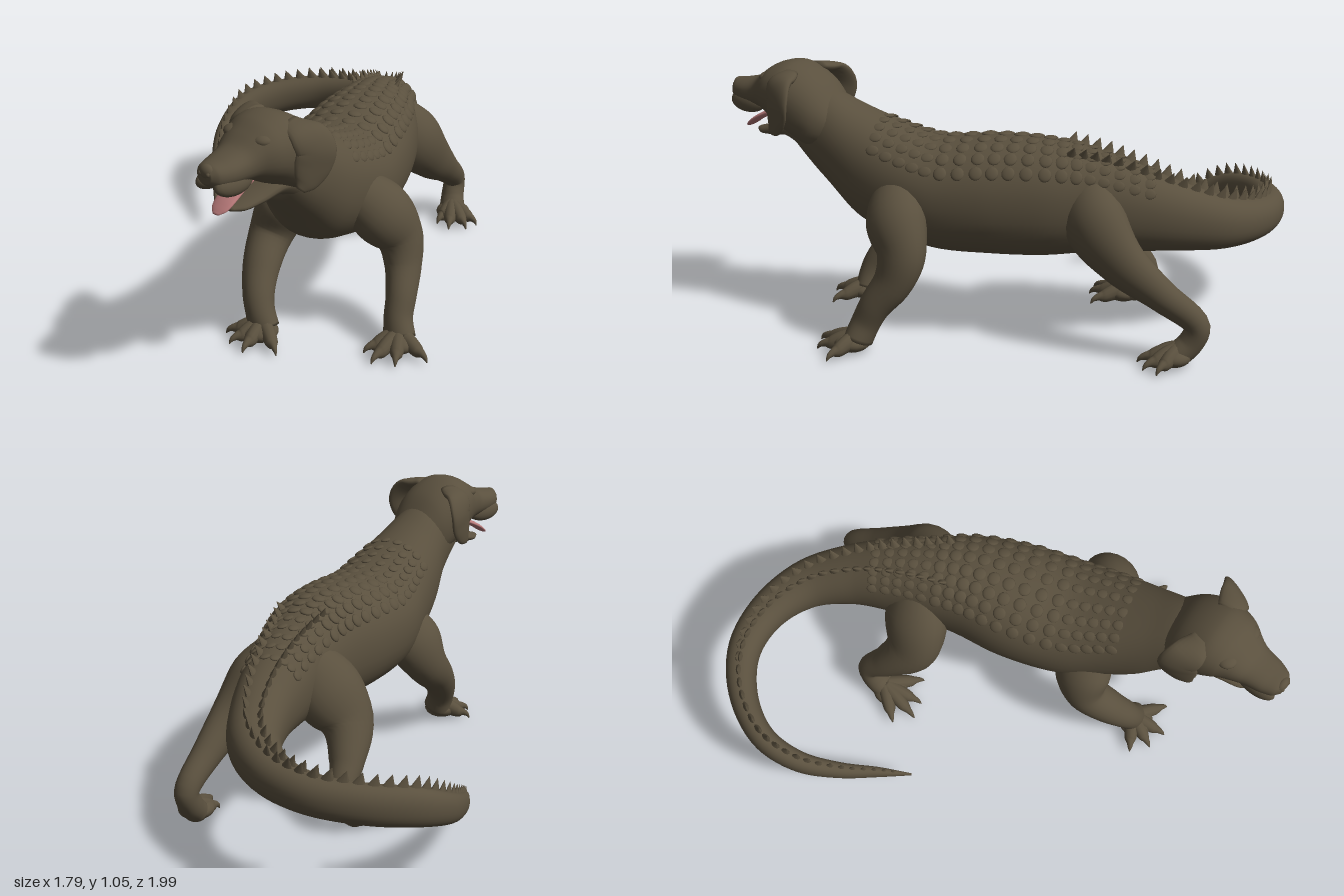
import * as THREE from 'three';
import { mergeGeometries } from 'three/addons/utils/BufferGeometryUtils.js';

const V = (x, y, z) => new THREE.Vector3(x, y, z);
const UP = V(0, 1, 0);

// Smooth sampler along stations [x, y, z, a, b]; a is the half size along ref, b across it
function sampler(stations, ref, flat) {
  const path = new THREE.CatmullRomCurve3(stations.map(s => V(s[0], s[1], s[2])));
  const size = new THREE.CatmullRomCurve3(stations.map(s => V(s[3], s[4], 0)), false, 'catmullrom', 0.5);
  return u => {
    const p = path.getPoint(u), T = path.getTangent(u), r = size.getPoint(u);
    if (flat) T.setY(0).normalize();
    const A = ref.clone().addScaledVector(T, -T.dot(ref)).normalize();
    return { p, T, A, B: T.clone().cross(A), a: Math.max(r.x, 0.001), b: Math.max(r.y, 0.001) };
  };
}

// Closed skin of elliptical rings around a sampled path
function loft(stations, ref, { flat = false, rings = stations.length * 4, sides = 20, power = 1 } = {}) {
  const at = sampler(stations, ref, flat), pos = [], index = [];
  const bend = v => Math.sign(v) * Math.abs(v) ** power;
  for (let i = 0; i <= rings; i++) {
    const f = at(i / rings);
    for (let j = 0; j < sides; j++) {
      const t = j / sides * Math.PI * 2;
      pos.push(...f.p.clone().addScaledVector(f.A, f.a * bend(Math.cos(t)))
        .addScaledVector(f.B, f.b * bend(Math.sin(t))).toArray());
    }
  }
  const first = pos.length / 3, last = first + 1;
  pos.push(...at(0).p.toArray(), ...at(1).p.toArray());
  for (let j = 0; j < sides; j++) {
    const k = (j + 1) % sides, end = rings * sides;
    for (let i = 0; i < rings; i++) {
      const o = i * sides, n = o + sides;
      index.push(o + j, o + k, n + j, o + k, n + k, n + j);
    }
    index.push(first, k, j, last, end + j, end + k);
  }
  const g = new THREE.BufferGeometry();
  g.setAttribute('position', new THREE.Float32BufferAttribute(pos, 3));
  g.setIndex(index);
  g.computeVertexNormals();
  return g;
}

// Stations given by top and bottom height: [x, z, top, bottom, halfWidth]
const spans = list => list.map(([x, z, t, b, w]) => [x, (t + b) / 2, z, (t - b) / 2, w]);

export function createModel() {
  const model = new THREE.Group();
  const skin = new THREE.MeshStandardMaterial({ color: 0x5a503e });
  skin.name = 'olive brown skin';
  const pink = new THREE.MeshStandardMaterial({ color: 0xb97a7a });
  pink.name = 'pink tongue';

  const add = (name, geometry, material = skin, parent = model) => {
    const m = new THREE.Mesh(geometry, material);
    m.name = name;
    parent.add(m);
    return m;
  };
  const blob = (name, x, y, z, sx, sy, sz, parent) => {
    const m = add(name, new THREE.SphereGeometry(1, 20, 14), skin, parent);
    m.position.set(x, y, z);
    m.scale.set(sx, sy, sz);
    return m;
  };

  // Neck, trunk and curled tail in one skin
  const spine = spans([
    [0.48, 0.66, 0.97, 0.71, 0.11], [0.455, 0.52, 0.94, 0.565, 0.14], [0.42, 0.40, 0.885, 0.44, 0.175],
    [0.37, 0.25, 0.825, 0.375, 0.21], [0.31, 0.10, 0.785, 0.335, 0.235], [0.23, -0.10, 0.80, 0.33, 0.235],
    [0.16, -0.28, 0.80, 0.335, 0.205], [0.08, -0.43, 0.77, 0.35, 0.17], [0, -0.58, 0.715, 0.36, 0.145],
    [-0.10, -0.73, 0.64, 0.36, 0.12], [-0.24, -0.86, 0.565, 0.35, 0.1], [-0.43, -0.915, 0.515, 0.345, 0.08],
    [-0.62, -0.88, 0.492, 0.338, 0.068], [-0.77, -0.75, 0.472, 0.315, 0.058], [-0.845, -0.58, 0.435, 0.28, 0.05],
    [-0.82, -0.42, 0.355, 0.225, 0.042], [-0.73, -0.28, 0.27, 0.175, 0.032], [-0.62, -0.16, 0.195, 0.13, 0.02],
    [-0.53, -0.06, 0.115, 0.1, 0.004],
  ]);
  add('body', loft(spine, UP, { flat: true, rings: 110, sides: 36, power: 0.92 }));

  // Armour placed on the back: station number, angle from the top, size across, up and along
  const at = sampler(spine, UP, true);
  const place = (geometry, station, angle, sx, sy, sz, lift) => {
    const f = at(station / (spine.length - 1)), c = Math.cos(angle), s = Math.sin(angle);
    const bend = v => Math.sign(v) * Math.abs(v) ** 0.92;
    const n = f.A.clone().multiplyScalar(c / f.a).addScaledVector(f.B, s / f.b).normalize();
    const p = f.p.addScaledVector(f.A, bend(c) * f.a).addScaledVector(f.B, bend(s) * f.b).addScaledVector(n, lift);
    const m = new THREE.Matrix4().makeBasis(n.clone().cross(f.T), n, f.T).setPosition(p);
    return geometry.clone().applyMatrix4(m.scale(V(sx, sy, sz)));
  };
  const bump = new THREE.SphereGeometry(1, 12, 8);
  const scutes = [];
  for (let s = 2.6; s < 8.4; s += 0.32) {
    const size = s < 4 || s > 7 ? 0.75 : 1;
    for (const angle of [0.13, 0.4, 0.67, 0.95])
      for (const side of [-1, 1])
        scutes.push(place(bump, s, side * angle, 0.028 * size, 0.01 * size, 0.027, -0.002));
  }
  add('backScutes', mergeGeometries(scutes));

  // Tail crest: two rows of blades that draw together towards the tip
  const blade = new THREE.ConeGeometry(1, 1, 8);
  blade.translate(0, 0.4, 0);
  const y = blade.attributes.position;
  for (let i = 0; i < y.count; i++) y.setZ(i, y.getZ(i) + Math.max(0, y.getY(i)) * 0.8);
  blade.computeVertexNormals();
  const crest = [];
  for (let s = 6.6; s < 17.6; s += 0.27) {
    const k = s < 14 ? 1 : 1 - (s - 14) * 0.17;
    const angle = 0.45 * Math.max(0, 1 - (s - 6.6) / 6.5);
    for (const side of angle > 0.05 ? [-1, 1] : [0])
      crest.push(place(blade, s, side * angle, 0.013 * k, 0.05 * k, 0.028 * k, -0.003));
  }
  add('tailCrest', mergeGeometries(crest));

  // Hound head
  const head = new THREE.Group();
  head.name = 'head';
  model.add(head);
  add('skull', loft(spans([
    [0.465, 0.46, 0.88, 0.72, 0.10], [0.475, 0.55, 0.99, 0.70, 0.148], [0.485, 0.66, 1.045, 0.75, 0.16],
    [0.49, 0.74, 1.035, 0.80, 0.14], [0.49, 0.80, 1.0, 0.828, 0.11], [0.492, 0.85, 0.965, 0.835, 0.088],
    [0.495, 0.92, 0.945, 0.842, 0.075], [0.495, 0.97, 0.935, 0.85, 0.056], [0.495, 0.993, 0.92, 0.87, 0.03],
  ]), UP, { flat: true, rings: 48, sides: 32, power: 0.9 }), skin, head);
  add('lowerJaw', loft(spans([
    [0.48, 0.56, 0.83, 0.66, 0.1], [0.485, 0.68, 0.83, 0.735, 0.1], [0.49, 0.77, 0.785, 0.727, 0.075],
    [0.49, 0.84, 0.757, 0.722, 0.052], [0.49, 0.878, 0.745, 0.73, 0.02],
  ]), UP, { flat: true }), skin, head);
  add('tongue', loft([
    [0.492, 0.84, 0.74, 0.012, 0.03], [0.492, 0.812, 0.82, 0.012, 0.04],
    [0.492, 0.778, 0.885, 0.011, 0.044], [0.492, 0.752, 0.92, 0.009, 0.036], [0.492, 0.738, 0.94, 0.004, 0.014],
  ], UP), pink, head);
  blob('nose', 0.495, 0.91, 0.977, 0.033, 0.027, 0.022, head);
  for (const side of [-1, 1]) {
    const name = side > 0 ? 'left' : 'right', cx = 0.485;
    blob(name + 'Brow', cx + side * 0.068, 0.978, 0.762, 0.042, 0.024, 0.042, head);
    blob(name + 'Eye', cx + side * 0.08, 0.952, 0.79, 0.015, 0.012, 0.016, head);
    const lip = blob(name + 'Lip', cx + 0.008 + side * 0.045, 0.857, 0.895, 0.034, 0.046, 0.088, head);
    lip.rotation.z = side * 0.35;
    blob(name + 'Nostril', cx + 0.01 + side * 0.018, 0.906, 0.989, 0.01, 0.01, 0.01, head);
    add(name + 'Ear', loft([
      [cx + side * 0.08, 1.01, 0.65, 0.045, 0.02], [cx + side * 0.15, 0.985, 0.638, 0.07, 0.025],
      [cx + side * 0.186, 0.93, 0.622, 0.078, 0.021], [cx + side * 0.182, 0.87, 0.635, 0.074, 0.019],
      [cx + side * 0.172, 0.82, 0.658, 0.052, 0.016], [cx + side * 0.165, 0.79, 0.68, 0.018, 0.008],
    ], V(-side * 0.4, 0, 0.92)), skin, head);
  }

  // Legs: path stations, then the claw tips [x, z] on the ground
  const legs = {
    frontLeftLeg: [[[0.47, 0.6, 0.21, 0.08, 0.09], [0.565, 0.5, 0.135, 0.11, 0.125], [0.615, 0.39, 0.075, 0.086, 0.1],
      [0.648, 0.29, 0.09, 0.07, 0.08], [0.69, 0.19, 0.15, 0.058, 0.064], [0.707, 0.115, 0.185, 0.056, 0.058],
      [0.73, 0.05, 0.205, 0.066, 0.055]],
    [[0.89, 0.235], [0.82, 0.34], [0.74, 0.385], [0.665, 0.34]]],
    frontRightLeg: [[[0.31, 0.58, 0.26, 0.08, 0.09], [0.2, 0.46, 0.27, 0.1, 0.125], [0.165, 0.35, 0.315, 0.086, 0.095],
      [0.2, 0.25, 0.41, 0.074, 0.075], [0.245, 0.16, 0.475, 0.062, 0.063], [0.27, 0.105, 0.492, 0.058, 0.058],
      [0.29, 0.05, 0.495, 0.066, 0.055]],
    [[0.17, 0.58], [0.24, 0.635], [0.325, 0.65], [0.435, 0.58]]],
    hindLeftLeg: [[[0.13, 0.64, -0.45, 0.08, 0.09], [0.185, 0.51, -0.53, 0.11, 0.13], [0.195, 0.38, -0.66, 0.08, 0.098],
      [0.16, 0.27, -0.81, 0.06, 0.065], [0.115, 0.16, -0.945, 0.048, 0.05], [0.125, 0.09, -0.925, 0.05, 0.05],
      [0.15, 0.045, -0.89, 0.058, 0.05]],
    [[0.3, -0.875], [0.29, -0.81], [0.235, -0.755], [0.16, -0.77]]],
    hindRightLeg: [[[0.03, 0.63, -0.46, 0.08, 0.1], [-0.07, 0.5, -0.4, 0.115, 0.145], [-0.155, 0.37, -0.365, 0.095, 0.115],
      [-0.235, 0.26, -0.43, 0.07, 0.072], [-0.29, 0.165, -0.5, 0.048, 0.05], [-0.295, 0.09, -0.475, 0.05, 0.05],
      [-0.285, 0.045, -0.43, 0.058, 0.05]],
    [[-0.385, -0.3], [-0.31, -0.24], [-0.24, -0.26], [-0.15, -0.32]]],
  };
  for (const [name, [path, tips]] of Object.entries(legs)) {
    const leg = new THREE.Group();
    leg.name = name;
    model.add(leg);
    add('limb', loft(path, V(1, 0, 0), { rings: 34, sides: 24 }), skin, leg);
    const [px, , pz] = path[path.length - 1];
    const reach = i => tips.reduce((sum, t) => sum + t[i], 0) / tips.length;
    blob('paw', px + (reach(0) - px) * 0.2, 0.04, pz + (reach(1) - pz) * 0.2, 0.074, 0.04, 0.074, leg);
    for (const [tx, tz] of tips) {
      const on = (k, h, a, b) => [px + (tx - px) * k, h, pz + (tz - pz) * k, a, b];
      add('toe', loft([on(0, 0.062, 0.04, 0.036), on(0.4, 0.047, 0.034, 0.03), on(0.66, 0.034, 0.026, 0.025),
        on(0.8, 0.033, 0.016, 0.015), on(0.92, 0.025, 0.01, 0.009), on(1, 0.008, 0.002, 0.002)],
      UP, { sides: 12 }), skin, leg);
    }
  }
  return model;
}
